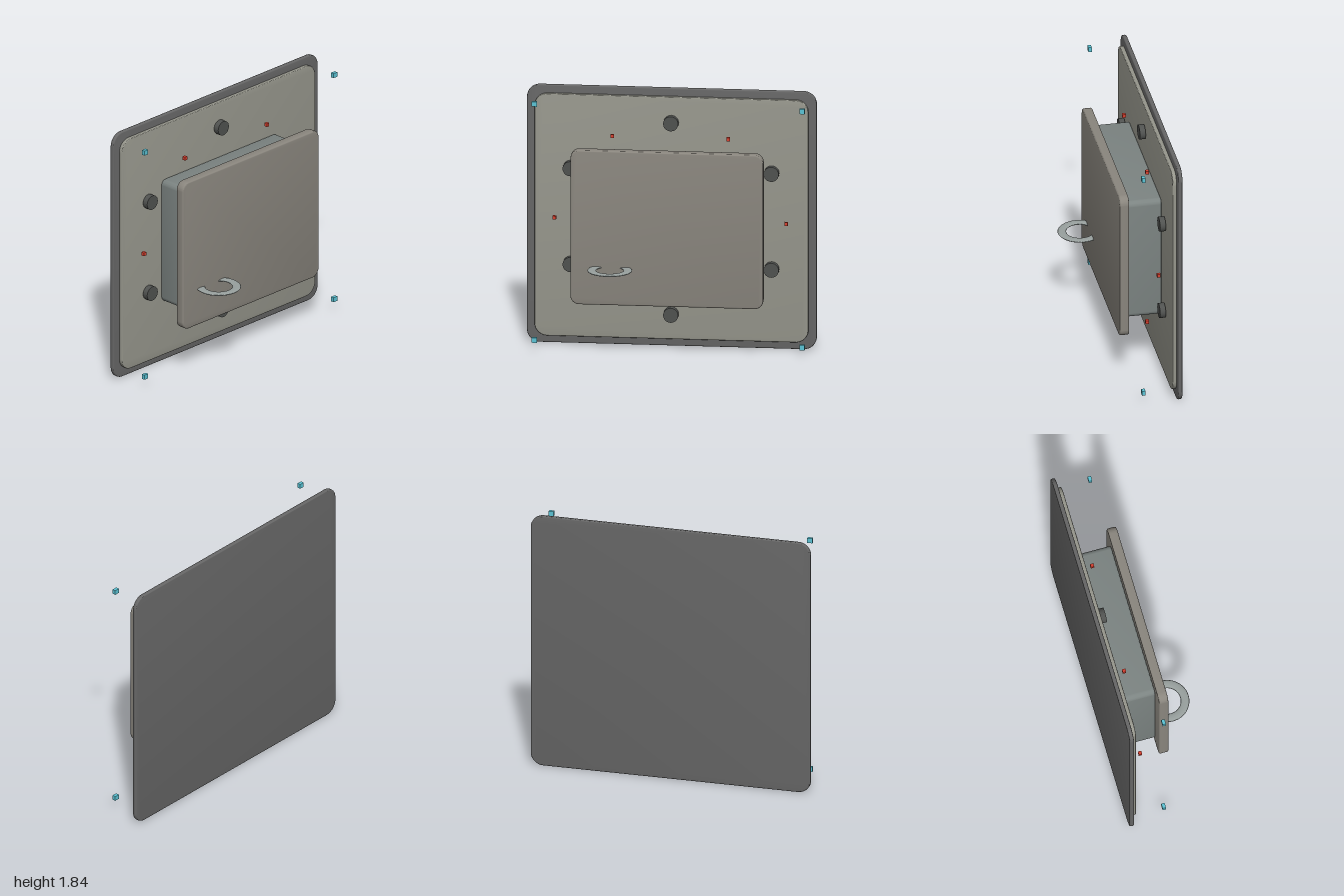
import * as THREE from 'three';
import { toCreasedNormals } from 'three/addons/utils/BufferGeometryUtils.js';

const mat = (color) => new THREE.MeshStandardMaterial({ color });
const materials = {
  base: mat(0x666666), panel: mat(0x96968c), box: mat(0x7c8482), cover: mat(0x8a867e),
  bolt: mat(0x505250), ring: mat(0x98a09e), red: mat(0xd8402f), teal: mat(0x5cc4d6),
};

// Upright slab with rounded corners and softened edges, spanning z0..z1
function slab(name, halfW, y0, y1, z0, z1, radius, bevel, material) {
  const w = halfW, h = (y1 - y0) / 2, r = radius;
  const s = new THREE.Shape();
  s.moveTo(-w + r, -h);
  s.absarc(w - r, -h + r, r, -Math.PI / 2, 0);
  s.absarc(w - r, h - r, r, 0, Math.PI / 2);
  s.absarc(-w + r, h - r, r, Math.PI / 2, Math.PI);
  s.absarc(-w + r, -h + r, r, Math.PI, Math.PI * 1.5);
  const geo = new THREE.ExtrudeGeometry(s, {
    depth: z1 - z0 - 2 * bevel, curveSegments: 8,
    bevelEnabled: true, bevelThickness: bevel, bevelSize: bevel, bevelOffset: -bevel, bevelSegments: 3,
  });
  const mesh = new THREE.Mesh(toCreasedNormals(geo, 0.6), material);
  mesh.name = name;
  mesh.position.set(0, (y0 + y1) / 2, z0 + bevel);
  return mesh;
}

// One named group of identical parts at the given x, y points
function scatter(name, geo, material, points, z) {
  const group = new THREE.Group();
  group.name = name + 's';
  for (const [x, y] of points) {
    const mesh = new THREE.Mesh(geo, material);
    mesh.name = name;
    mesh.position.set(x, y, z);
    group.add(mesh);
  }
  return group;
}

export function createModel() {
  const model = new THREE.Group();
  model.name = 'wallPanel';

  // Stacked plates, housing and cover
  model.add(
    slab('backPlate', 1, 0, 1.835, -0.297, -0.267, 0.09, 0.008, materials.base),
    slab('frontPanel', 0.945, 0.055, 1.78, -0.267, -0.238, 0.09, 0.005, materials.panel),
    slab('housing', 0.565, 0.463, 1.375, -0.238, 0.008, 0.04, 0.012, materials.box),
    slab('cover', 0.665, 0.37, 1.468, 0.008, 0.074, 0.06, 0.01, materials.cover),
  );

  // Round bolts around the housing
  const boltGeo = new THREE.CylinderGeometry(0.052, 0.052, 0.04, 24).rotateX(Math.PI / 2);
  model.add(scatter('bolt', boltGeo, materials.bolt, [
    [0, 1.6], [0, 0.236],
    [0.694, 1.26], [-0.694, 1.26], [0.694, 0.577], [-0.694, 0.577],
  ], -0.211));

  // Flattened pull ring passing into the cover
  const ring = new THREE.Mesh(new THREE.TorusGeometry(0.124, 0.03, 12, 48), materials.ring);
  ring.name = 'pullRing';
  ring.geometry.scale(1, 1, 0.27).rotateX(Math.PI / 2);
  ring.position.set(-0.385, 0.637, 0.142);
  model.add(ring);

  // Small floating markers
  model.add(scatter('redMarker', new THREE.BoxGeometry(0.024, 0.024, 0.024), materials.red, [
    [0.4, 1.51], [-0.4, 1.51], [0.8, 0.918], [-0.8, 0.918], [0.4, 0.328], [-0.4, 0.328],
  ], -0.169));
  model.add(scatter('cornerMarker', new THREE.BoxGeometry(0.036, 0.034, 0.024), materials.teal, [
    [0.924, 1.76], [-0.924, 1.76], [0.924, 0.078], [-0.924, 0.078],
  ], -0.036));

  return model;
}
